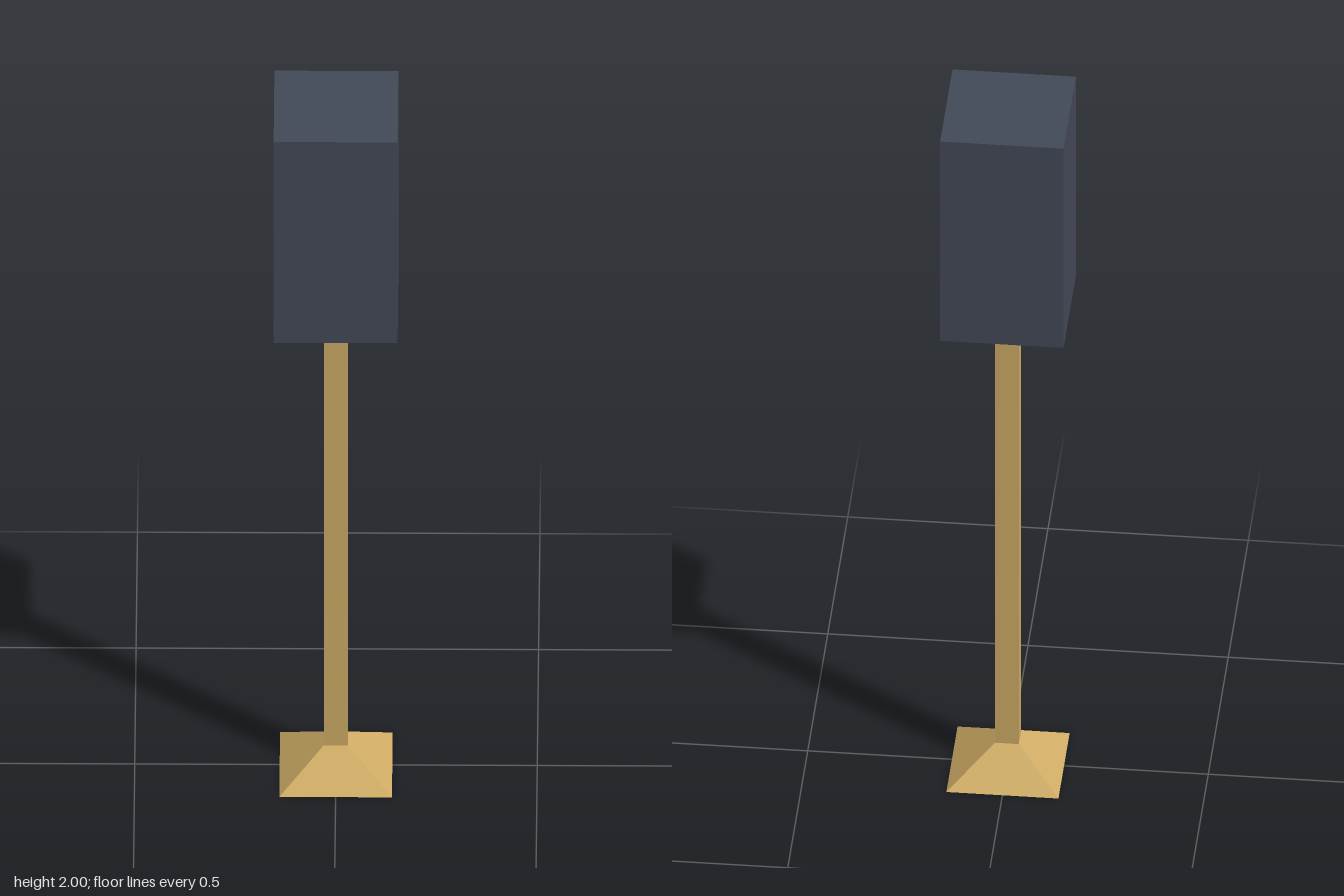
import * as THREE from 'three';

export function createModel() {
  const brass = new THREE.MeshStandardMaterial({ color: 0xcfac66 });
  brass.name = 'brass';
  const slate = new THREE.MeshStandardMaterial({ color: 0x434a58 });
  slate.name = 'slate';
  const model = new THREE.Group();
  model.name = 'floorLamp';

  const add = (name, geometry, material, y) => {
    const mesh = new THREE.Mesh(geometry, material);
    mesh.name = name;
    mesh.position.y = y;
    model.add(mesh);
    return mesh;
  };

  const baseHalf = 0.14, poleHalf = 0.03, baseHeight = 0.08;
  const shadeHalf = 0.154, wall = 0.01, shadeBottom = 1.39, ceiling = 1.53;

  // Square pyramid foot, cut off at the width of the pole
  const foot = new THREE.CylinderGeometry(
    poleHalf * Math.SQRT2, baseHalf * Math.SQRT2, baseHeight, 4, 1)
    .rotateY(Math.PI / 4).toNonIndexed();
  foot.computeVertexNormals();
  add('base', foot, brass, baseHeight / 2);

  // Square pole running up into the shade
  const poleLength = ceiling - baseHeight;
  add('pole', new THREE.BoxGeometry(poleHalf * 2, poleLength, poleHalf * 2),
    brass, baseHeight + poleLength / 2);

  // Closed upper part of the shade
  add('shadeTop', new THREE.BoxGeometry(shadeHalf * 2, 2 - ceiling, shadeHalf * 2),
    slate, (2 + ceiling) / 2);

  // Hollow lower part: a square ring with thin walls
  const ring = new THREE.Shape();
  const square = (path, h) => path.moveTo(-h, -h).lineTo(h, -h).lineTo(h, h).lineTo(-h, h).closePath();
  square(ring, shadeHalf);
  const opening = new THREE.Path();
  square(opening, shadeHalf - wall);
  ring.holes.push(opening);
  const skirt = new THREE.ExtrudeGeometry(ring, { depth: ceiling - shadeBottom, bevelEnabled: false })
    .rotateX(-Math.PI / 2);
  add('shadeSkirt', skirt, slate, shadeBottom);

  return model;
}
